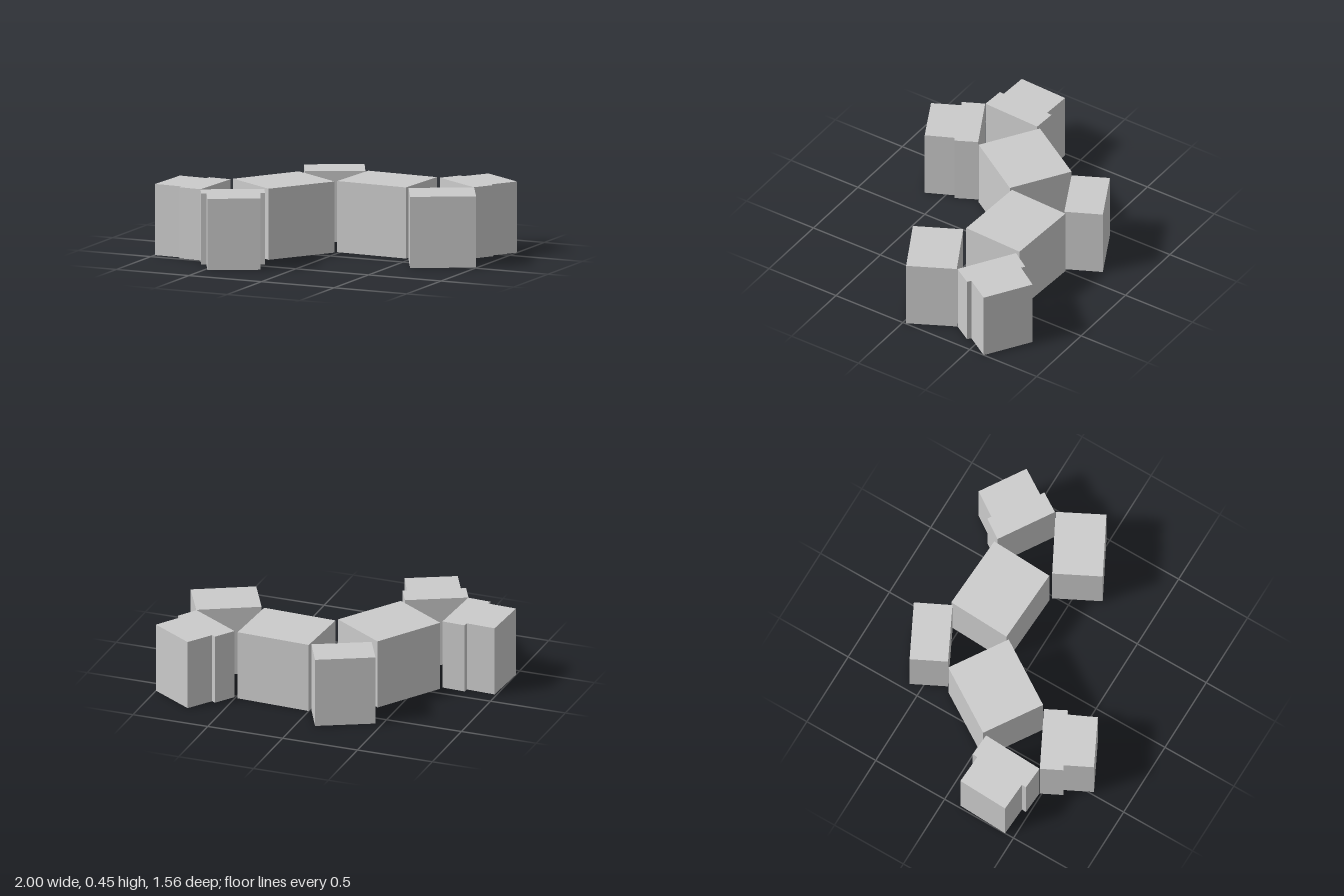
import * as THREE from 'three';

const HEIGHT = 0.45;

// Ground plans as [x, z] corners
const plans = {
  // two main halls
  eastHall: [[0, -0.551], [0.484, -0.529], [0.465, -0.118], [-0.019, -0.139]],
  westHall: [[-0.38, -0.345], [-0.027, -0.118], [-0.289, 0.289], [-0.639, 0.064]],
  // plain wings
  backWing: [[-0.12, -0.751], [-0.012, -0.535], [-0.348, -0.366], [-0.457, -0.58]],
  eastWing: [[0.848, -0.302], [0.995, -0.021], [0.631, 0.17], [0.486, -0.11]],
  // stepped wings
  northEastWing: [[0.719, -0.783], [1, -0.604], [0.898, -0.444], [0.922, -0.428],
    [0.845, -0.305], [0.508, -0.519], [0.591, -0.644], [0.615, -0.628]],
  westWing: [[-0.986, 0.106], [-0.797, 0.115], [-0.795, 0.081], [-0.645, 0.088],
    [-0.663, 0.487], [-0.813, 0.478], [-0.811, 0.448], [-1, 0.439]],
  southWing: [[-0.31, 0.307], [-0.241, 0.439], [-0.265, 0.453], [-0.184, 0.623],
    [-0.481, 0.773], [-0.567, 0.604], [-0.596, 0.62], [-0.663, 0.489]],
};

// Flat-roofed block raised from its ground plan
function block(name, plan, material) {
  const shape = new THREE.Shape(plan.map(([x, z]) => new THREE.Vector2(x, -z)));
  const geometry = new THREE.ExtrudeGeometry(shape, { depth: HEIGHT, bevelEnabled: false });
  geometry.rotateX(-Math.PI / 2);
  const mesh = new THREE.Mesh(geometry, material);
  mesh.name = name;
  return mesh;
}

export function createModel() {
  const group = new THREE.Group();
  group.name = 'buildingCluster';
  const material = new THREE.MeshStandardMaterial({ color: 0xcccccc, flatShading: true });
  for (const [name, plan] of Object.entries(plans)) group.add(block(name, plan, material));
  return group;
}
